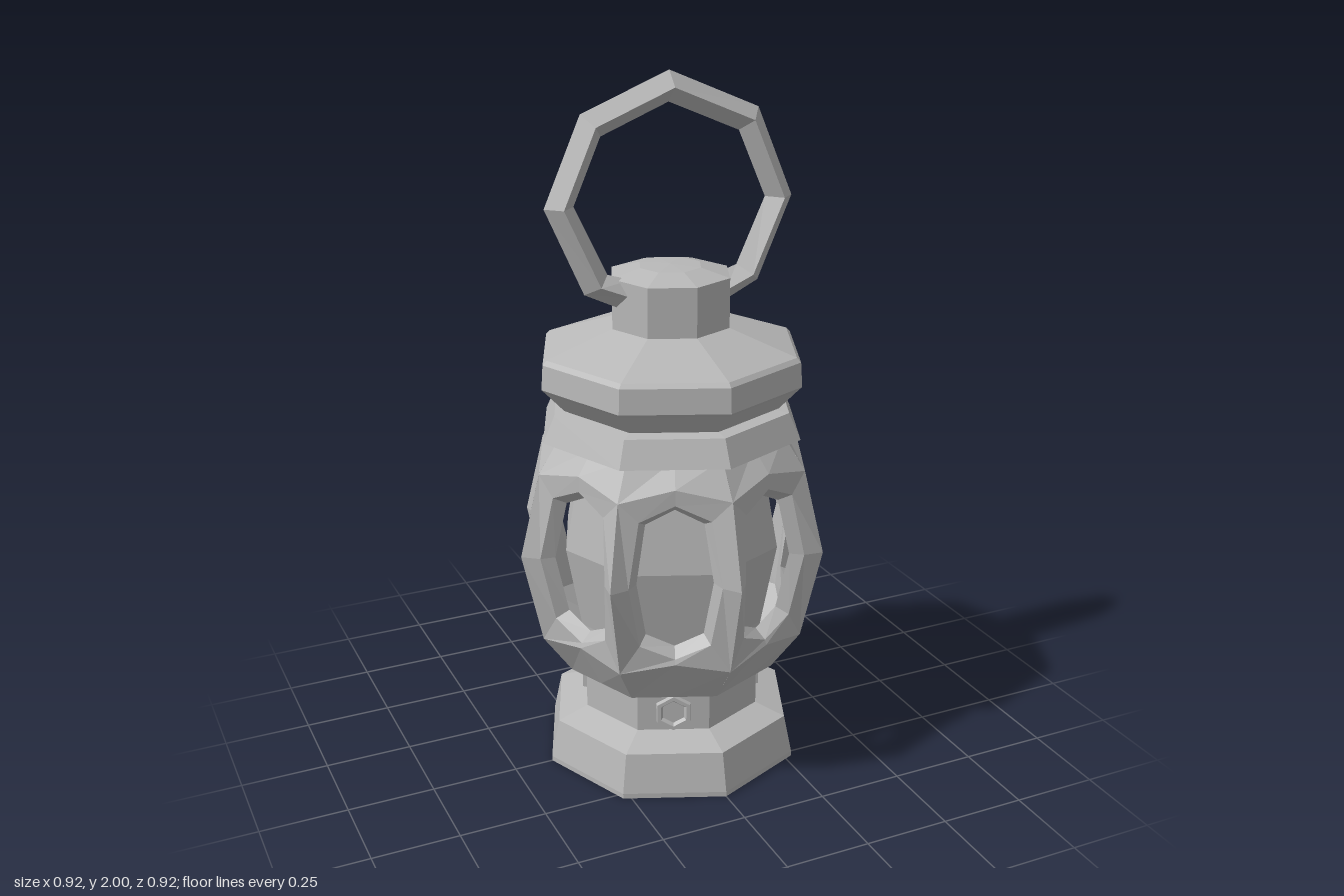
import * as THREE from 'three';

const metal = new THREE.MeshStandardMaterial({ color: 0xb8b8b8, flatShading: true, side: THREE.DoubleSide });
metal.name = 'grey metal';

// Eight-sided turned part; profile runs bottom to top as [radius, y]
function turned(name, profile) {
  const geo = new THREE.LatheGeometry(profile.map(([r, y]) => new THREE.Vector2(r, y)), 8);
  const mesh = new THREE.Mesh(geo, metal);
  mesh.name = name;
  return mesh;
}

// Flat-faced geometry from a list of four-cornered faces
function fromQuads(quads) {
  const pos = [];
  for (const [a, b, c, d] of quads) pos.push(...a, ...b, ...c, ...a, ...c, ...d);
  const geo = new THREE.BufferGeometry();
  geo.setAttribute('position', new THREE.Float32BufferAttribute(pos, 3));
  geo.computeVertexNormals();
  return geo;
}

// Skin successive closed rings
function skin(rings) {
  const quads = [];
  for (let r = 0; r < rings.length - 1; r++) {
    const A = rings[r], B = rings[r + 1], n = A.length;
    for (let i = 0; i < n; i++) quads.push([A[i], A[(i + 1) % n], B[(i + 1) % n], B[i]]);
  }
  return quads;
}

// One cage panel: ridge outline, window rim, inner rim, back, plus both shoulders
function panelGeometry() {
  const flip = ([x, y, z]) => [-x, y, z];
  const ring = (mid, up, top, low, bottom) =>
    [mid, up, top, flip(up), flip(mid), flip(low), bottom, low];
  const ridge = ring([0.176, 0.68, 0.425], [0.153, 0.92, 0.37], [0, 0.955, 0.365], [0.153, 0.41, 0.37], [0, 0.435, 0.37]);
  const rim = ring([0.127, 0.68, 0.397], [0.098, 0.865, 0.37], [0, 0.91, 0.365], [0.098, 0.495, 0.37], [0, 0.45, 0.365]);
  const inner = ring([0.105, 0.68, 0.36], [0.08, 0.845, 0.335], [0, 0.885, 0.33], [0.08, 0.515, 0.335], [0, 0.475, 0.33]);
  const back = ring([0.146, 0.68, 0.353], [0.135, 0.9, 0.326], [0, 0.94, 0.326], [0.135, 0.43, 0.326], [0, 0.42, 0.326]);
  const quads = skin([ridge, rim, inner, back]);
  const edge = (r, y) => [-1, 0, 1].map(s => [s * r * Math.sin(Math.PI / 8), y, r * Math.cos(Math.PI / 8)]);
  const high = edge(0.335, 1.02), low = edge(0.315, 0.29);
  const upLine = [ridge[3], ridge[2], ridge[1]], lowLine = [ridge[5], ridge[6], ridge[7]];
  for (let i = 0; i < 2; i++) {
    quads.push([upLine[i], upLine[i + 1], high[i + 1], high[i]]);
    quads.push([low[i], low[i + 1], lowLine[i + 1], lowLine[i]]);
  }
  return fromQuads(quads);
}

// Diamond section swept along the handle's bent path
function handleGeometry() {
  const path = [[0.14, 1.40], [0.225, 1.435], [0.325, 1.64], [0.238, 1.857], [0.005, 1.957],
    [-0.222, 1.868], [-0.32, 1.66], [-0.225, 1.445], [-0.14, 1.41]];
  const rings = path.map(([x, y], i) => {
    const p = path[Math.max(i - 1, 0)], q = path[Math.min(i + 1, path.length - 1)];
    const len = Math.hypot(q[0] - p[0], q[1] - p[1]);
    const nx = (q[1] - p[1]) / len, ny = -(q[0] - p[0]) / len;
    const z = 0.02 - (y - 1.4) * 0.07 + x * 0.025;
    const w = 0.042, d = 0.04;
    return [[x + nx * w, y + ny * w, z], [x, y, z + d], [x - nx * w, y - ny * w, z], [x, y, z - d]];
  });
  const quads = skin(rings);
  quads.push(rings[0], [...rings[rings.length - 1]].reverse());
  return fromQuads(quads);
}

export function createModel() {
  const lantern = new THREE.Group();
  lantern.name = 'lantern';

  // Foot, neck and turned body parts
  lantern.add(
    turned('base', [[0, 0], [0.385, 0], [0.385, 0.015], [0.36, 0.13], [0.27, 0.16],
      [0.27, 0.28], [0.315, 0.29]]),
    turned('glass', [[0, 0.3], [0.27, 0.3], [0.28, 0.43], [0.325, 0.675], [0.28, 0.92], [0.27, 1.0], [0, 1.0]]),
    turned('collar', [[0.33, 1.02], [0.365, 1.008], [0.385, 1.01], [0.35, 1.085], [0.3, 1.09]]),
    turned('lid', [[0.29, 1.08], [0.32, 1.095], [0.375, 1.155], [0.385, 1.165], [0.38, 1.235],
      [0.368, 1.247], [0.172, 1.312]]),
    turned('cap', [[0.174, 1.3], [0.174, 1.452], [0.09, 1.474], [0, 1.478]]),
  );

  // Ribbed cage with eight windows
  const cage = new THREE.Group();
  cage.name = 'cage';
  const panel = panelGeometry();
  for (let i = 0; i < 8; i++) {
    const mesh = new THREE.Mesh(panel, metal);
    mesh.name = 'windowPanel';
    mesh.rotation.y = (i + 0.5) * Math.PI / 4;
    cage.add(mesh);
  }
  lantern.add(cage);

  // Recessed hexagonal bolts on every second neck face
  const hex = (r, z) => Array.from({ length: 6 }, (_, k) => {
    const a = (k + 0.5) * Math.PI / 3;
    return [r * Math.cos(a), 0.218 + r * Math.sin(a), z];
  });
  const face = hex(0.035, 0.252);
  const bolt = fromQuads([...skin([hex(0.058, 0.245), hex(0.054, 0.262), hex(0.042, 0.262), face]),
    [face[0], face[1], face[2], face[3]], [face[0], face[3], face[4], face[5]]]);
  for (let i = 0; i < 4; i++) {
    const mesh = new THREE.Mesh(bolt, metal);
    mesh.name = 'neckBolt';
    mesh.rotation.y = -Math.PI / 8 + i * Math.PI / 2;
    lantern.add(mesh);
  }

  // Carrying ring
  const handle = new THREE.Mesh(handleGeometry(), metal);
  handle.name = 'handle';
  lantern.add(handle);
  return lantern;
}
